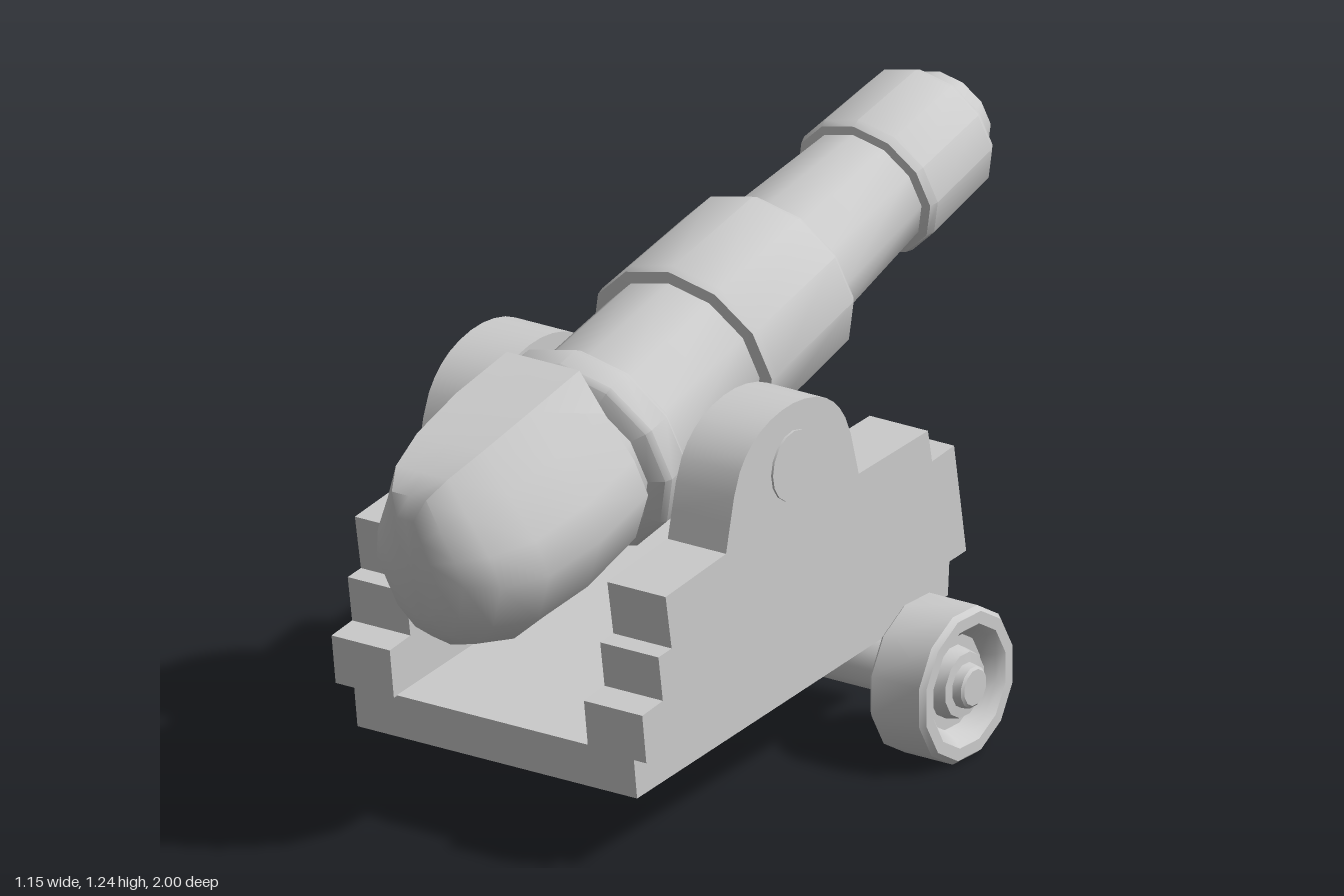
import * as THREE from 'three';
import { toCreasedNormals } from 'three/addons/utils/BufferGeometryUtils.js';

const material = new THREE.MeshStandardMaterial({ color: 0xcccccc });

function part(name, geometry, crease = 0.6) {
  const mesh = new THREE.Mesh(toCreasedNormals(geometry, crease), material);
  mesh.name = name;
  return mesh;
}

const lathe = (profile) =>
  new THREE.LatheGeometry(profile.map(([r, h]) => new THREE.Vector2(r, h)), 12);

// Plate with a [z, y] outline, extruded from x0 to x1
function sidePlate(outline, x0, x1) {
  const shape = new THREE.Shape(outline.map(([z, y]) => new THREE.Vector2(-z, y)));
  return new THREE.ExtrudeGeometry(shape, { depth: x1 - x0, bevelEnabled: false })
    .rotateY(Math.PI / 2).translate(x0, 0, 0);
}

// Cover lofted from rows of [position along barrel, top, bottom, half width]
function coverGeometry() {
  const half = [[0, 1], [0.42, 1], [0.64, 0.8], [0.9, 0.59], [1, 0.42], [0.76, 0.17], [0.4, 0.04], [0, 0]];
  const loop = [...half, ...half.slice(1, -1).reverse().map(([x, v]) => [-x, v])];
  const sections = [
    [-0.775, 0.01, 0.01, 0], [-0.765, 0.24, -0.19, 0.19], [-0.785, 0.27, -0.217, 0.222],
    [-0.97, 0.28, -0.228, 0.226], [-1.13, 0.28, -0.217, 0.205], [-1.24, 0.27, -0.165, 0.16],
    [-1.295, 0.245, -0.11, 0.105], [-1.32, 0.2, -0.05, 0.05], [-1.327, 0.07, 0.07, 0]];
  const pos = [], index = [], n = loop.length;
  sections.forEach(([s, top, bottom, w], i) => loop.forEach(([x, v], j) => {
    pos.push(x * w, s, bottom + (top - bottom) * v);
    if (i === sections.length - 1) return;
    const a = i * n + j, b = i * n + (j + 1) % n;
    index.push(a, a + n, b, b, a + n, b + n);
  }));
  const g = new THREE.BufferGeometry();
  g.setAttribute('position', new THREE.Float32BufferAttribute(pos, 3));
  g.setIndex(index);
  return g;
}

export function createModel() {
  const model = new THREE.Group();

  // Gun: local y runs along the bore towards the muzzle, local z is its upper side
  const gun = new THREE.Group();
  gun.name = 'gun';
  gun.position.set(0, 0.947, -0.327);
  gun.rotation.x = -1.326;
  const barrel = part('barrel', lathe([
    [0, -0.92], [0.18, -0.9], [0.19, -0.76], [0.222, -0.744], [0.23, -0.73], [0.23, -0.675],
    [0.215, -0.655], [0.19, -0.65], [0.187, -0.335], [0.213, -0.33], [0.216, -0.31], [0.208, -0.015],
    [0.198, 0], [0.163, 0.004], [0.141, 0.345], [0.158, 0.351], [0.164, 0.37], [0.157, 0.585],
    [0.148, 0.6], [0.116, 0.604], [0.108, 0.655], [0.104, 0.663], [0.088, 0.663], [0.08, 0.62],
    [0.08, 0.3], [0, 0.3]]));
  barrel.scale.x = 1.08;
  gun.add(barrel, part('breechCover', coverGeometry(), 0.9));
  model.add(gun);

  // Trunnion on which the barrel pivots
  for (const [name, r, length] of [['trunnion', 0.06, 0.78], ['trunnionEnds', 0.078, 0.81]]) {
    const sides = name === 'trunnion' ? [0] : [-1, 1];
    const size = name === 'trunnion' ? length : 0.1;
    for (const side of sides) {
      model.add(part(name, new THREE.CylinderGeometry(r, r, size, 16)
        .rotateZ(Math.PI / 2).translate(side * (length - size) / 2, 0.765, 0.158)));
    }
  }

  // Stepped side brackets with a rounded hump around the trunnion
  const hump = new THREE.CatmullRomCurve3([[0.4, 0.642], [0.35, 0.81], [0.276, 0.877], [0.155, 0.904],
    [0.035, 0.877], [-0.035, 0.81], [-0.083, 0.668]].map(([z, y]) => new THREE.Vector3(z, y, 0)))
    .getPoints(18).map((p) => [p.x, p.y]);
  const outline = [[0.69, 0.262], [0.705, 0.374], [0.63, 0.384], [0.646, 0.487], [0.598, 0.492],
    [0.62, 0.615], ...hump, [-0.335, 0.684], [-0.35, 0.61], [-0.43, 0.62], [-0.453, 0.49],
    [-0.474, 0.369]];
  model.add(part('leftBracket', sidePlate(outline, 0.25, 0.4)));
  model.add(part('rightBracket', sidePlate(outline, -0.4, -0.25)));

  // Sloping floor board
  model.add(part('floor', sidePlate(
    [[0.667, 0.166], [0.68, 0.265], [-0.472, 0.371], [-0.464, 0.262]], -0.36, 0.36)));

  // Cross board with a dipped upper edge
  const board = new THREE.Shape();
  board.moveTo(-0.26, 0.34);
  board.lineTo(0.26, 0.34);
  board.lineTo(0.26, 0.535);
  board.lineTo(0.2, 0.53);
  board.quadraticCurveTo(0, 0.46, -0.2, 0.53);
  board.lineTo(-0.26, 0.535);
  model.add(part('transom', new THREE.ExtrudeGeometry(board,
    { depth: 0.07, bevelEnabled: false, curveSegments: 8 }).translate(0, 0, -0.44)));

  // Axle and the pair of dished wheels
  const running = new THREE.Group();
  running.name = 'wheelset';
  running.position.set(0, 0.168, -0.26);
  running.add(part('axle', new THREE.CylinderGeometry(0.066, 0.066, 0.9, 12)
    .rotateZ(Math.PI / 2).translate(0, 0.008, 0)));
  const wheel = lathe([[0, 0.415], [0.16, 0.415], [0.172, 0.425], [0.172, 0.548], [0.162, 0.56],
    [0.135, 0.56], [0.12, 0.545], [0.105, 0.515], [0.08, 0.515], [0.072, 0.548], [0.05, 0.55],
    [0.046, 0.57], [0.04, 0.575], [0, 0.575]]).rotateY(Math.PI / 12);
  for (const side of [-1, 1]) {
    running.add(part(side > 0 ? 'leftWheel' : 'rightWheel',
      wheel.clone().rotateZ(-side * Math.PI / 2)));
  }
  model.add(running);
  return model;
}
